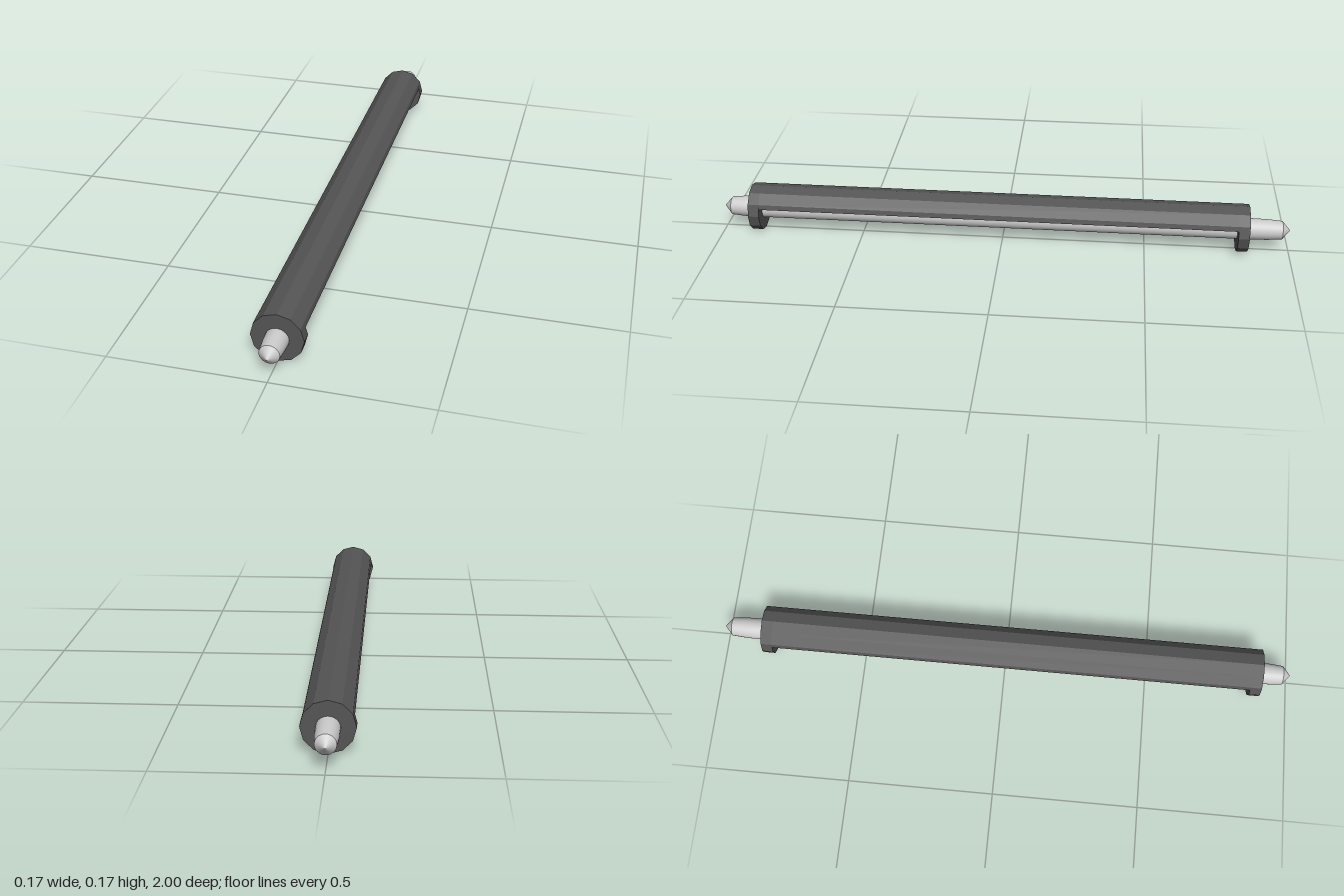
import * as THREE from 'three';

const R = 0.083, CY = 0.083;          // casing radius and centre height
const FRONT = 0.895, BACK = -0.855;   // casing ends along z
const FLANGE = 0.038;

// Extrude an outline in the xy plane between two z positions
function prism(points, z0, z1, material, name) {
  const geometry = new THREE.ExtrudeGeometry(new THREE.Shape(points), {
    depth: z1 - z0, bevelEnabled: false,
  });
  geometry.translate(0, 0, z0);
  const mesh = new THREE.Mesh(geometry, material);
  mesh.name = name;
  return mesh;
}

// Corner of the twelve-sided casing
function corner(i) {
  const a = i * Math.PI / 6;
  return new THREE.Vector2(R * Math.cos(a), CY + R * Math.sin(a));
}

export function createModel() {
  const group = new THREE.Group();
  group.name = 'coveredRoller';
  const dark = new THREE.MeshStandardMaterial({ color: 0x555555, flatShading: true });
  const grey = new THREE.MeshStandardMaterial({ color: 0xcccccc });

  // Twelve-sided end flanges
  const ring = Array.from({ length: 12 }, (_, i) => corner(i));
  group.add(prism(ring, FRONT - FLANGE, FRONT, dark, 'frontFlange'));
  group.add(prism(ring, BACK, BACK + FLANGE, dark, 'backFlange'));

  // Upper cover: top of the same outline, underside sloping in to the roller
  const cover = [new THREE.Vector2(0.076, 0.108)];
  for (let i = 1; i <= 5; i++) cover.push(corner(i));
  cover.push(
    new THREE.Vector2(-0.076, 0.108),
    new THREE.Vector2(-0.033, 0.097),
    new THREE.Vector2(0.033, 0.097),
  );
  group.add(prism(cover, BACK + FLANGE, FRONT - FLANGE, dark, 'cover'));

  // Roller shaft with tapered ends
  const body = [[0.037, -0.86], [0.037, 0.9], [0.036, 0.93], [0.032, 0.972]];
  const shaft = new THREE.LatheGeometry(
    [[0.032, -0.972], [0.036, -0.92], ...body].map(([r, z]) => new THREE.Vector2(r, z)), 32);
  shaft.rotateX(Math.PI / 2);
  const roller = new THREE.Mesh(shaft, grey);
  roller.name = 'roller';
  roller.position.y = 0.08;
  group.add(roller);

  // Pointed tips
  for (const side of [1, -1]) {
    const cone = new THREE.ConeGeometry(0.032, 0.028, 32, 1, true);
    cone.rotateX(side * Math.PI / 2);
    const tip = new THREE.Mesh(cone, grey);
    tip.name = side > 0 ? 'frontTip' : 'backTip';
    tip.position.set(0, 0.08, side * 0.986);
    group.add(tip);
  }
  return group;
}
